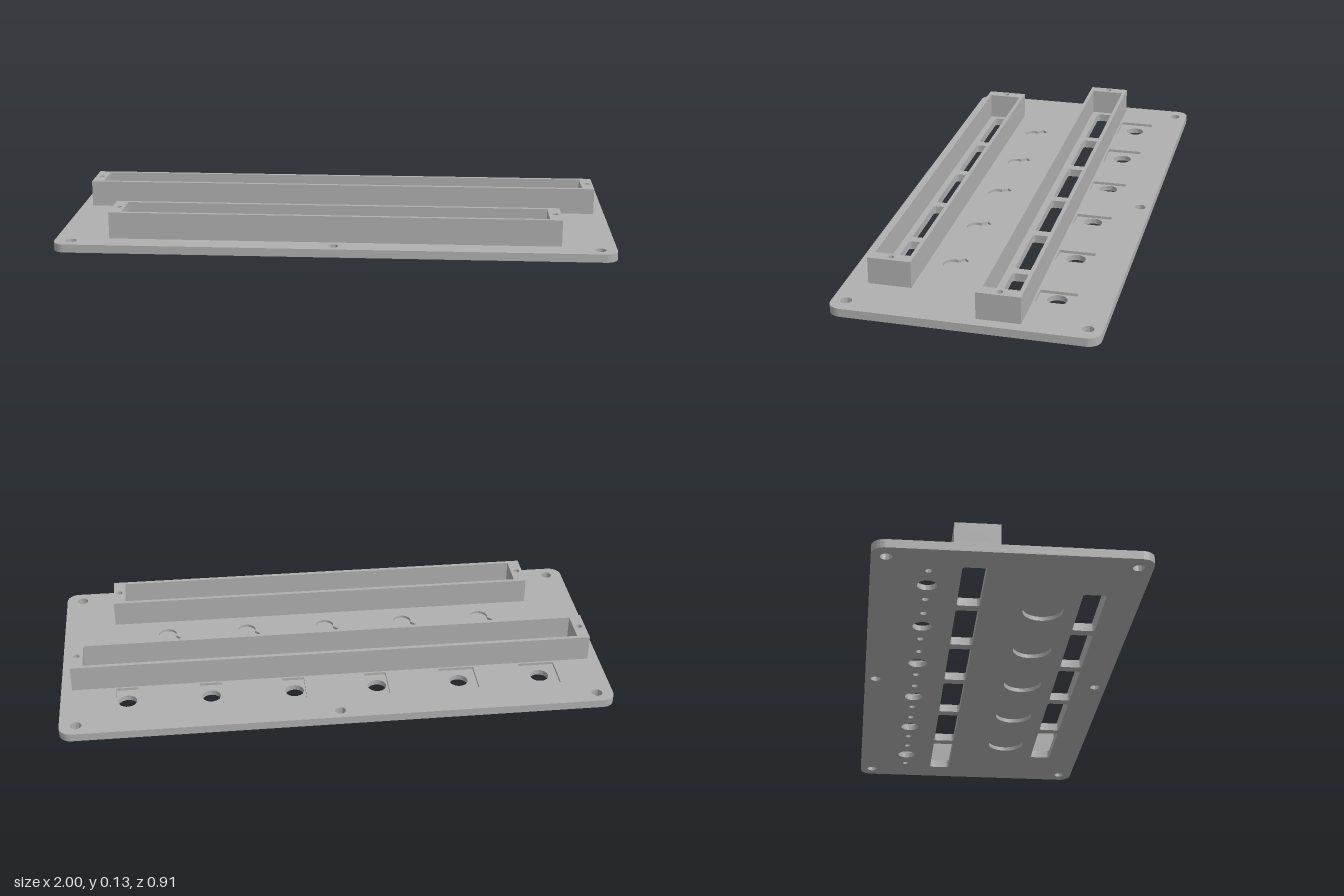
import * as THREE from 'three';
import { toCreasedNormals } from 'three/addons/utils/BufferGeometryUtils.js';

// Outlines are drawn in (x, z) as seen from above; shape y is -z.
function roundRect(x, z, w, d, r, Type = THREE.Path) {
  const p = new Type(), a = x - w / 2, b = x + w / 2, c = -z - d / 2, e = -z + d / 2;
  p.moveTo(a + r, c);
  p.lineTo(b - r, c);
  p.absarc(b - r, c + r, r, -Math.PI / 2, 0);
  p.lineTo(b, e - r);
  p.absarc(b - r, e - r, r, 0, Math.PI / 2);
  p.lineTo(a + r, e);
  p.absarc(a + r, e - r, r, Math.PI / 2, Math.PI);
  p.lineTo(a, c + r);
  p.absarc(a + r, c + r, r, Math.PI, Math.PI * 1.5);
  return p;
}

function rect(x, z, w, d, Type = THREE.Path) {
  const a = x - w / 2, b = x + w / 2, c = -z - d / 2, e = -z + d / 2;
  return new Type([[a, c], [b, c], [b, e], [a, e]].map(q => new THREE.Vector2(...q)));
}

function circle(x, z, r) {
  return new THREE.Path().absarc(x, -z, r, 0, Math.PI * 2);
}

// Round pocket with a short diagonal notch
function keyhole(x, z, r, length, half) {
  const mid = Math.PI * 0.75, gap = Math.asin(half / r);
  const dir = new THREE.Vector2(Math.cos(mid), Math.sin(mid));
  const side = new THREE.Vector2(-dir.y, dir.x);
  const tip = s => [x + dir.x * length + side.x * half * s, -z + dir.y * length + side.y * half * s];
  const p = new THREE.Path();
  p.absarc(x, -z, r, mid + gap, mid - gap + Math.PI * 2);
  p.lineTo(...tip(-1));
  p.lineTo(...tip(1));
  p.closePath();
  return p;
}

function slab(name, outline, holes, y0, y1, material) {
  outline.holes = holes;
  const extruded = new THREE.ExtrudeGeometry(outline, { depth: y1 - y0, bevelEnabled: false, curveSegments: 16 });
  extruded.rotateX(-Math.PI / 2).translate(0, y0, 0);
  const mesh = new THREE.Mesh(toCreasedNormals(extruded, 0.6), material);
  mesh.name = name;
  return mesh;
}

export function createModel() {
  const model = new THREE.Group();
  model.name = 'connectorPanel';
  const grey = new THREE.MeshStandardMaterial({ color: 0xb0b0b0 });
  grey.name = 'plain grey';

  const pitch = 0.3035, top = 0.03, height = 0.127;
  const row = n => Array.from({ length: n }, (_, i) => (i - (n - 1) / 2) * pitch);
  const backX = row(6), frontX = row(5);
  const backZ = -0.12, frontZ = 0.298, jackZ = -0.267, keyZ = 0.138;

  // Openings that pass through the whole plate
  const through = () => [
    ...[-0.94, 0.94].flatMap(x => [-0.408, 0.408].map(z => circle(x, z, 0.02))),
    circle(0, -0.417, 0.019), circle(0, 0.417, 0.019),
    ...backX.map(x => roundRect(x, backZ, 0.267, 0.08, 0.01)),
    ...frontX.map(x => roundRect(x, frontZ, 0.267, 0.08, 0.01)),
  ];
  const jacks = () => backX.map(x => circle(x, jackZ, 0.034));
  const outline = () => roundRect(0, 0, 2, 0.914, 0.045, THREE.Shape);

  // Plate in three layers: underside pockets, web, top pockets
  const plate = new THREE.Group();
  plate.name = 'plate';
  plate.add(
    slab('plateUnderside', outline(), [
      ...through(), ...jacks(),
      ...backX.flatMap(x => [circle(x - 0.1, jackZ, 0.012), circle(x + 0.1, jackZ, 0.012)]),
      ...frontX.map(x => circle(x, keyZ, 0.07)),
    ], 0, 0.015, grey),
    slab('plateWeb', outline(), [...through(), ...jacks()], 0.015, 0.02, grey),
    slab('plateTop', outline(), [
      ...through(),
      ...backX.map((x, i) => rect(x, -0.265, i < 2 ? 0.132 : 0.08, 0.13)),
      ...frontX.map(x => keyhole(x, keyZ, 0.034, 0.058, 0.014)),
    ], 0.02, top, grey),
  );
  model.add(plate);

  // Open-topped housings around each row of slots, with screw holes in the ends
  const housing = (name, z, halfLength) => {
    const group = new THREE.Group();
    group.name = name;
    const box = () => rect(0, z, halfLength * 2, 0.152, THREE.Shape);
    const cavity = () => rect(0, z, (halfLength - 0.045) * 2, 0.124);
    const screws = [-1, 1].map(s => circle(s * (halfLength - 0.022), z, 0.011));
    group.add(
      slab(name + 'LowerWalls', box(), [cavity()], top, 0.06, grey),
      slab(name + 'UpperWalls', box(), [cavity(), ...screws], 0.06, height, grey),
    );
    model.add(group);
  };
  housing('backHousing', backZ + 0.003, 0.96);
  housing('frontHousing', frontZ + 0.002, 0.808);

  return model;
}
